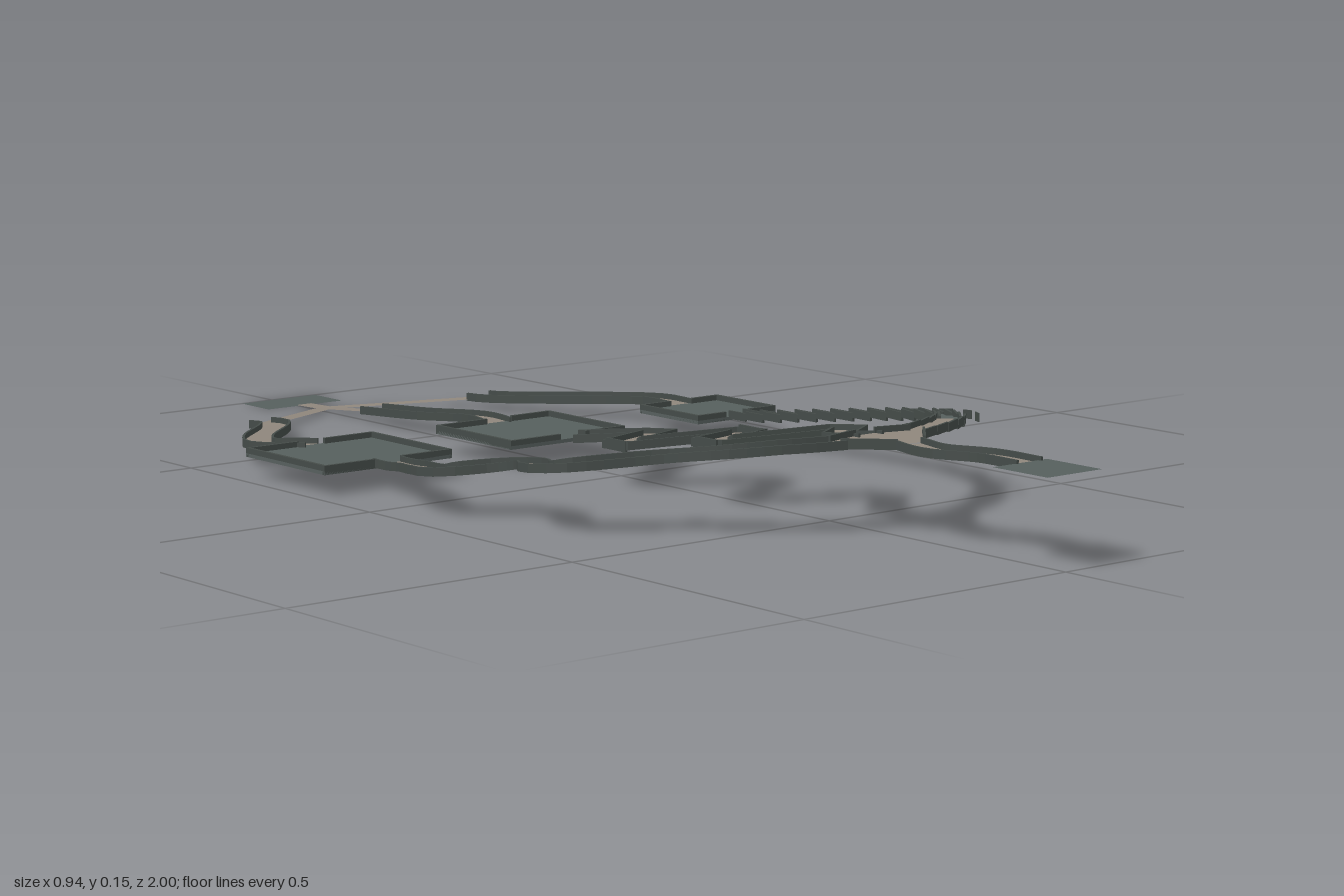
import * as THREE from 'three';

const mat = (color) => new THREE.MeshStandardMaterial({ color, flatShading: true, side: THREE.DoubleSide });
const TAN = mat(0x8f867c), SLATE = mat(0x565f5d), DARK = mat(0x444b48);
const WALL = 0.014, LIFT = 0.005, HALF = 0.026, THICK = 0.004;

// Underside height of the lanes along z
const PROFILE = [[-0.71, 0.012], [-0.37, 0.033], [-0.15, 0.034], [-0.1, 0.037], [0.55, 0.129], [0.6, 0.132], [1, 0.133]];
function baseY(z) {
  for (let i = 1; i < PROFILE.length; i++) {
    const [z0, y0] = PROFILE[i - 1], [z1, y1] = PROFILE[i];
    if (z <= z1) return y0 + (y1 - y0) * Math.max(0, (z - z0) / (z1 - z0));
  }
  return 0.133;
}

// Sweep a cross-section of [sideways, up] corners along [x, y, z] points with mitred corners
function sweep(points, section, closed) {
  const pos = [], idx = [], n = section.length;
  const dir = (a, b) => new THREE.Vector2(b[0] - a[0], b[2] - a[2]).normalize();
  points.forEach((p, i) => {
    const d0 = dir(points[Math.max(i - 1, 0)], points[Math.max(i, 1)]);
    const last = points.length - 1;
    const d1 = dir(points[Math.min(i, last - 1)], points[Math.min(i + 1, last)]);
    const t = d0.clone().add(d1).normalize();
    const k = 1 / Math.max(0.6, t.dot(d0));
    section.forEach(([s, u]) => pos.push(p[0] - t.y * s * k, p[1] + u, p[2] + t.x * s * k));
    if (i === 0) return;
    for (let j = 0; j < (closed ? n : n - 1); j++) {
      const a = (i - 1) * n + j, b = (i - 1) * n + (j + 1) % n;
      idx.push(a, b, a + n, b, b + n, a + n);
    }
  });
  if (closed) {
    const e = (points.length - 1) * n;
    idx.push(0, 2, 1, 0, 3, 2, e, e + 1, e + 2, e, e + 2, e + 3);
  }
  const g = new THREE.BufferGeometry();
  g.setAttribute('position', new THREE.Float32BufferAttribute(pos, 3));
  g.setIndex(idx);
  g.computeVertexNormals();
  return g;
}

function add(parent, name, geometry, material, x = 0, y = 0, z = 0) {
  const m = new THREE.Mesh(geometry, material);
  m.name = name;
  m.position.set(x, y, z);
  parent.add(m);
  return m;
}

const box = (x, y, z) => new THREE.BoxGeometry(x, y, z);

// Trough-shaped lane: floor ribbon between two low walls
function channel(parent, name, pts, half = HALF, floor = TAN) {
  const g = new THREE.Group();
  g.name = name;
  add(g, 'laneFloor', sweep(pts, [[-half, LIFT], [half, LIFT]], false), floor);
  for (const s of [-1, 1]) {
    const a = s * half, b = s * (half - THICK);
    add(g, 'laneWall', sweep(pts, [[a, 0], [b, 0], [b, WALL], [a, WALL]], true), DARK);
  }
  parent.add(g);
}

const onSlope = (xz) => xz.map(([x, z]) => [x, baseY(z), z]);
function smooth(xz, count) {
  const c = new THREE.CatmullRomCurve3(xz.map(([x, z]) => new THREE.Vector3(x, 0, z)), false, 'centripetal');
  return onSlope(c.getSpacedPoints(count).map((p) => [p.x, p.z]));
}

// Tray with a raised rim, open where the lane passes through
function platform(parent, name, x0, x1, z0, z1, laneX) {
  const g = new THREE.Group();
  g.name = name;
  const w = x1 - x0, d = z1 - z0, cx = (x0 + x1) / 2, cz = (z0 + z1) / 2, y = 0.033, h = 0.015, t = 0.006;
  add(g, 'platformFloor', box(w, 0.006, d), SLATE, cx, y + 0.003, cz);
  for (const x of [x0 + t / 2, x1 - t / 2]) add(g, 'sideRim', box(t, h, d), DARK, x, y + h / 2, cz);
  for (const z of [z0 + t / 2, z1 - t / 2]) {
    for (const [a, b] of [[x0, laneX - HALF], [laneX + HALF, x1]]) {
      add(g, 'endRim', box(b - a, h, t), DARK, (a + b) / 2, y + h / 2, z);
    }
  }
  parent.add(g);
}

export function createModel() {
  const root = new THREE.Group();
  root.name = 'threeLaneMap';

  // Start and finish pads
  const pad = (name, x0, x1, z0, z1, y) =>
    add(root, name, new THREE.PlaneGeometry(x1 - x0, z1 - z0).rotateX(-Math.PI / 2), SLATE, (x0 + x1) / 2, y, (z0 + z1) / 2);
  pad('frontPad', -0.04, 0.07, 0.89, 1, 0.141);
  pad('backPad', -0.065, 0.095, -1, -0.915, 0);

  // Platforms
  platform(root, 'rightPlatform', -0.475, -0.225, -0.375, -0.155, -0.35);
  platform(root, 'middlePlatform', -0.105, 0.135, -0.36, -0.155, 0.025);
  platform(root, 'leftPlatform', 0.295, 0.47, -0.31, -0.155, 0.385);

  // Junction where the lanes split
  const outline = [[-0.065, 0.57], [0.0, 0.555], [0.04, 0.555], [0.1, 0.57], [0.1, 0.6], [0.045, 0.66], [-0.01, 0.66], [-0.07, 0.6]];
  const shape = new THREE.Shape(outline.map(([x, z]) => new THREE.Vector2(x, -z)));
  add(root, 'junctionFloor', new THREE.ShapeGeometry(shape).rotateX(-Math.PI / 2), TAN, 0, 0.1385, 0);
  for (const [i, j] of [[0, 1], [2, 3], [4, 5], [6, 7]]) {
    const pts = [outline[i], outline[j]].map(([x, z]) => [x, 0.132, z]);
    add(root, 'junctionWall', sweep(pts, [[-0.002, 0], [0.002, 0], [0.002, 0.016], [-0.002, 0.016]], true), DARK);
  }

  // Winding lanes
  channel(root, 'frontLane', smooth([[0.015, 0.655], [0, 0.73], [0.03, 0.81], [0.03, 0.895]], 14));
  channel(root, 'rightFrontLane', smooth([[-0.055, 0.585], [-0.13, 0.555], [-0.2, 0.5], [-0.27, 0.41], [-0.38, 0.325], [-0.39, 0.28],
    [-0.35, 0.21], [-0.36, 0.16], [-0.43, 0.085], [-0.415, 0.03], [-0.37, -0.07], [-0.35, -0.16]], 40));
  channel(root, 'rightBackLane', smooth([[-0.35, -0.37], [-0.39, -0.45], [-0.36, -0.51], [-0.25, -0.625], [-0.22, -0.67], [-0.22, -0.71]], 18));
  channel(root, 'middleBackLane', smooth([[0.02, -0.355], [0.045, -0.45], [0.02, -0.57], [0.015, -0.71]], 14));
  channel(root, 'leftBackLane', smooth([[0.385, -0.305], [0.385, -0.4], [0.29, -0.58], [0.25, -0.67], [0.25, -0.71]], 16));

  // Zigzag middle lane
  channel(root, 'zigzagLane', onSlope([[0.02, 0.57], [0.02, 0.5], [0.11, 0.425], [0.1, 0.385], [-0.045, 0.315], [-0.045, 0.275],
    [0.085, 0.215], [0.085, 0.175], [-0.05, 0.095], [-0.05, 0.06], [0.105, -0.03], [0.1, -0.075], [0.03, -0.155]]));

  // Stepped curving lane: short level troughs, each a little lower than the last
  const curve = smooth([[0.085, 0.585], [0.17, 0.55], [0.25, 0.5], [0.32, 0.42], [0.365, 0.32], [0.385, 0.2], [0.385, 0], [0.385, -0.16]], 20);
  for (let i = 0; i < 20; i++) {
    const a = curve[i], b = curve[i + 1], y = (a[1] + b[1]) / 2;
    const wide = i < 5;
    channel(root, 'steppedLane', [[a[0], y, a[2]], [b[0], y, b[2]]], wide ? 0.025 : 0.018, wide ? TAN : SLATE);
  }

  // Narrow ramps fanning down to the back pad
  const ramp = (name, pts, half) => add(root, name, sweep(pts, [[-half, 0], [half, 0]], false), TAN);
  for (const x of [-0.22, 0.25]) ramp('sideRamp', [[x, 0.016, -0.705], [0.015, 0.003, -0.85]], 0.014);
  ramp('middleRamp', [[0.015, 0.016, -0.705], [0.015, 0.003, -0.85], [0.015, 0.001, -0.92]], 0.016);

  // Loose guard slivers at the outer bends
  for (const [x, z] of [[-0.075, 0.08], [-0.075, 0.3], [0.11, 0.19]]) {
    add(root, 'bendGuard', box(0.004, 0.018, 0.05), DARK, x, baseY(z) + 0.007, z);
  }
  add(root, 'looseGuard', box(0.02, 0.003, 0.004), DARK, -0.288, 0.081, 0.205);
  const sliver = smooth([[0.285, 0.53], [0.35, 0.44], [0.39, 0.33], [0.405, 0.2]], 8);
  for (let i = 0; i < 8; i += 2) {
    add(root, 'curveGuard', sweep([sliver[i], sliver[i + 1]], [[-0.001, 0], [0.001, 0], [0.001, 0.014], [-0.001, 0.014]], true), DARK);
  }
  return root;
}
